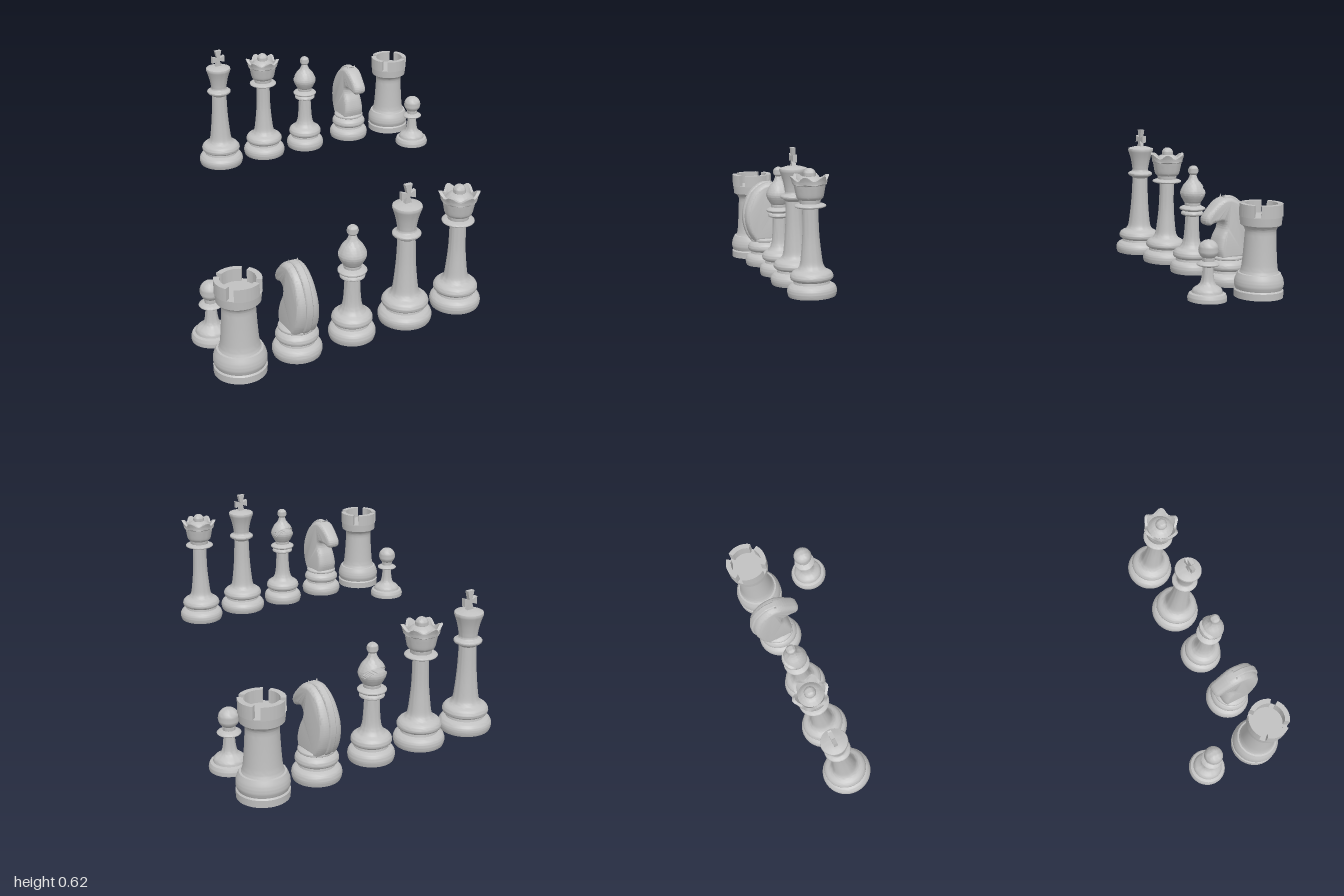
import * as THREE from 'three';
import { toCreasedNormals } from 'three/addons/utils/BufferGeometryUtils.js';

const stone = new THREE.MeshStandardMaterial({ color: 0xc0c0c0 });
stone.name = 'pale grey';

const V = (p) => new THREE.Vector2(p[0], p[1]);

function mesh(name, geometry, crease = 0.7) {
  const m = new THREE.Mesh(toCreasedNormals(geometry, crease), stone);
  m.name = name;
  return m;
}

// Turned profile: each run is a smooth curve, runs meet at sharp edges
function turned(runs, steps = 4, sides = 40) {
  const pts = [];
  for (const run of runs) {
    const curve = new THREE.SplineCurve(run.map(V));
    for (const p of curve.getPoints(run.length > 2 ? (run.length - 1) * steps : 1)) {
      p.x = Math.max(p.x, 0);
      if (!pts.length || pts[pts.length - 1].distanceTo(p) > 1e-5) pts.push(p);
    }
  }
  return new THREE.LatheGeometry(pts, sides);
}

function moveVertices(geometry, rule) {
  const pos = geometry.attributes.position;
  const v = new THREE.Vector3();
  for (let i = 0; i < pos.count; i++) {
    v.fromBufferAttribute(pos, i);
    rule(v);
    pos.setXYZ(i, v.x, v.y, v.z);
  }
  return geometry;
}

function ball(name, r, y) {
  const m = mesh(name, new THREE.SphereGeometry(r, 24, 16), 1);
  m.position.y = y;
  return m;
}

// Two stacked rounded rings shared by the larger pieces
const footRuns = (r, y) => [
  [[0, y], [r * 0.96, y]],
  [[r * 0.96, y], [r, y + 0.014], [r, y + 0.03], [r * 0.92, y + 0.046], [r * 0.74, y + 0.056]],
  [[r * 0.74, y + 0.056], [r * 0.72, y + 0.066]],
  [[r * 0.72, y + 0.066], [r * 0.85, y + 0.075], [r * 0.87, y + 0.09], [r * 0.78, y + 0.105], [r * 0.6, y + 0.115]],
];

function pawn() {
  const g = new THREE.Group();
  g.add(mesh('pawnBody', turned([
    [[0, 0.005], [0.083, 0.005]],
    [[0.083, 0.005], [0.084, 0.02], [0.078, 0.036]],
    [[0.078, 0.036], [0.066, 0.04]],
    [[0.066, 0.04], [0.06, 0.056], [0.036, 0.075], [0.027, 0.1], [0.022, 0.15]],
    [[0.022, 0.15], [0.045, 0.157], [0.047, 0.165], [0.026, 0.175]],
    [[0.026, 0.175], [0.024, 0.2], [0, 0.2]],
  ])), ball('pawnHead', 0.043, 0.225));
  return g;
}

function rook() {
  const g = new THREE.Group();
  g.add(mesh('rookTower', turned([
    [[0, 0], [0.105, 0]],
    [[0.105, 0], [0.106, 0.03]],
    [[0.106, 0.03], [0.1, 0.036]],
    [[0.1, 0.036], [0.106, 0.055], [0.103, 0.08], [0.092, 0.105]],
    [[0.092, 0.105], [0.084, 0.107]],
    [[0.084, 0.107], [0.077, 0.13], [0.071, 0.2], [0.066, 0.29]],
    [[0.066, 0.29], [0.072, 0.305], [0.088, 0.317]],
    [[0.088, 0.317], [0.091, 0.355]],
    [[0.091, 0.355], [0, 0.355]],
  ])));
  // Four battlements with gaps on the diagonals
  const a = 0.62;
  const arc = new THREE.Shape();
  arc.absarc(0, 0, 0.093, -a, a, false);
  arc.absarc(0, 0, 0.07, a, -a, true);
  const block = new THREE.ExtrudeGeometry(arc, { depth: 0.055, bevelEnabled: false, curveSegments: 10 }).rotateX(-Math.PI / 2);
  for (let i = 0; i < 4; i++) {
    const m = mesh('battlement', block, 0.5);
    m.position.y = 0.353;
    m.rotation.y = i * Math.PI / 2;
    g.add(m);
  }
  return g;
}

function bishop() {
  const g = new THREE.Group();
  g.add(mesh('bishopBody', turned([
    ...footRuns(0.096, 0.005),
    [[0.058, 0.12], [0.044, 0.14], [0.036, 0.18], [0.031, 0.27]],
    [[0.031, 0.27], [0.05, 0.278], [0.05, 0.288], [0.04, 0.294]],
    [[0.04, 0.294], [0.057, 0.301], [0.058, 0.31], [0.036, 0.32]],
    [[0.036, 0.32], [0.034, 0.345], [0, 0.345]],
  ])));
  // Pointed head with a slanted slit cut into the back
  const head = turned([[[0.03, 0.325], [0.045, 0.345], [0.058, 0.378], [0.045, 0.413], [0.024, 0.44], [0.014, 0.465]]], 10, 48);
  moveVertices(head, (v) => {
    const cut = 0.365 + 0.8 * -v.z;
    if (v.z < -0.006 && Math.abs(v.y - cut) < 0.01) v.z = -0.006;
  });
  g.add(mesh('bishopHead', head), ball('bishopFinial', 0.024, 0.482));
  return g;
}

function king() {
  const g = new THREE.Group();
  g.add(mesh('kingBody', turned([
    ...footRuns(0.111, 0.012),
    [[0.067, 0.127], [0.056, 0.145], [0.049, 0.19], [0.041, 0.28], [0.037, 0.385]],
    [[0.037, 0.385], [0.045, 0.392]],
    [[0.045, 0.392], [0.058, 0.4], [0.058, 0.41], [0.042, 0.418]],
    [[0.042, 0.418], [0.039, 0.43], [0.048, 0.48], [0.062, 0.523]],
    [[0.062, 0.523], [0.06, 0.531]],
    [[0.06, 0.531], [0.03, 0.54], [0, 0.543]],
  ])));
  // Flared cross on top
  const pts = [];
  for (let i = 0; i < 4; i++) {
    const c = Math.cos(i * Math.PI / 2), s = Math.sin(i * Math.PI / 2);
    const reach = i === 3 ? 0.042 : i === 1 ? 0.046 : 0.033;
    for (const [x, y] of [[reach, -0.017], [reach, 0.017], [0.008, 0.007]]) pts.push(V([x * c - y * s, x * s + y * c]));
  }
  const cross = new THREE.ExtrudeGeometry(new THREE.Shape(pts), { depth: 0.018, bevelEnabled: false });
  cross.translate(0, 0.577, -0.009);
  g.add(mesh('kingCross', cross, 0.3));
  return g;
}

function queen() {
  const g = new THREE.Group();
  g.add(mesh('queenBody', turned([
    ...footRuns(0.106, 0.01),
    [[0.064, 0.125], [0.051, 0.145], [0.044, 0.19], [0.036, 0.28], [0.034, 0.39]],
    [[0.034, 0.39], [0.064, 0.396], [0.066, 0.405], [0.044, 0.412]],
    [[0.044, 0.412], [0.042, 0.44], [0, 0.44]],
  ])));
  // Crown with six outward points
  const crown = turned([
    [[0.04, 0.425], [0.056, 0.436], [0.064, 0.47], [0.068, 0.492]],
    [[0.068, 0.492], [0.074, 0.496]],
    [[0.074, 0.496], [0.075, 0.508], [0.079, 0.522]],
    [[0.079, 0.522], [0.066, 0.522]],
    [[0.066, 0.522], [0.058, 0.505]],
    [[0.058, 0.505], [0.04, 0.522], [0.02, 0.53], [0, 0.532]],
  ], 4, 48);
  moveVertices(crown, (v) => {
    const r = Math.hypot(v.x, v.z);
    if (r < 0.06) return;
    const t = THREE.MathUtils.clamp((v.y - 0.49) / 0.032, 0, 1);
    const wave = Math.cos(6 * Math.atan2(v.x, v.z)) * t;
    v.x *= 1 + 0.09 * wave;
    v.z *= 1 + 0.09 * wave;
    v.y += 0.011 * wave;
  });
  g.add(mesh('queenCrown', crown), ball('queenFinial', 0.027, 0.536));
  return g;
}

// Side outline swept across the width, facing +z
function sideCut(points, depth, thick, inset) {
  const shape = new THREE.Shape();
  shape.moveTo(...points[0]);
  shape.splineThru(points.slice(1).map(V));
  const geo = new THREE.ExtrudeGeometry(shape, {
    depth, curveSegments: 40, bevelThickness: thick, bevelSize: inset, bevelOffset: -inset, bevelSegments: 5,
  });
  return geo.translate(0, 0, -depth / 2).rotateY(-Math.PI / 2);
}

function knight() {
  const g = new THREE.Group();
  g.add(mesh('knightBase', turned([
    ...footRuns(0.1, 0.005),
    [[0.06, 0.12], [0.074, 0.122], [0.076, 0.13], [0.07, 0.136]],
    [[0.07, 0.136], [0, 0.138]],
  ])));
  const head = sideCut([
    [0.058, 0.125], [0.068, 0.17], [0.058, 0.22], [0.038, 0.265], [0.045, 0.292], [0.08, 0.288], [0.108, 0.278],
    [0.128, 0.292], [0.126, 0.318], [0.1, 0.35], [0.065, 0.383], [0.03, 0.398], [-0.015, 0.393],
    [-0.065, 0.355], [-0.098, 0.29], [-0.105, 0.23], [-0.092, 0.17], [-0.068, 0.125],
  ], 0.036, 0.037, 0.018);
  // Narrow towards the ears and the muzzle
  moveVertices(head, (v) => {
    const up = THREE.MathUtils.clamp((v.y - 0.14) / 0.27, 0, 1);
    const nose = THREE.MathUtils.clamp((v.z - 0.04) / 0.09, 0, 1) * (v.y > 0.26 ? 1 : 0);
    v.x *= (1.02 - 0.32 * up) * (1 - 0.3 * nose);
  });
  g.add(mesh('knightHead', head, 0.9));
  // Crest of hair along the neck
  g.add(mesh('mane', sideCut([
    [0.03, 0.403], [-0.02, 0.402], [-0.075, 0.36], [-0.106, 0.295], [-0.113, 0.23], [-0.098, 0.165], [-0.075, 0.13],
    [-0.06, 0.15], [-0.08, 0.23], [-0.07, 0.29], [-0.04, 0.34], [0.01, 0.375],
  ], 0.014, 0.008, 0.006), 0.9));
  for (const side of [-1, 1]) {
    const ear = mesh('ear', new THREE.ConeGeometry(0.015, 0.05, 12), 0.8);
    ear.position.set(side * 0.019, 0.388, 0.03);
    ear.rotation.x = -0.2;
    g.add(ear);
  }
  return g;
}

export function createModel() {
  const set = new THREE.Group();
  set.name = 'chessSet';
  const place = (name, make, x, z, turn = 0) => {
    const piece = make();
    piece.name = name;
    piece.position.set(x, 0, z);
    piece.rotation.y = turn;
    set.add(piece);
  };
  for (const [row, z, s] of [['front', 0.885, -1], ['back', -0.885, 1]]) {
    place(row + 'Rook', rook, s * 0.883, z);
    place(row + 'Knight', knight, s * 0.633, z, s < 0 ? Math.PI : 0);
    place(row + 'Bishop', bishop, s < 0 ? -0.382 : 0.36, z + (s > 0 ? 0.008 : 0));
    place(row + 'King', king, -0.13, z);
    place(row + 'Queen', queen, 0.12, z);
    place(row + 'Pawn', pawn, s < 0 ? -0.885 : 0.875, -s * 0.628);
  }
  return set;
}
